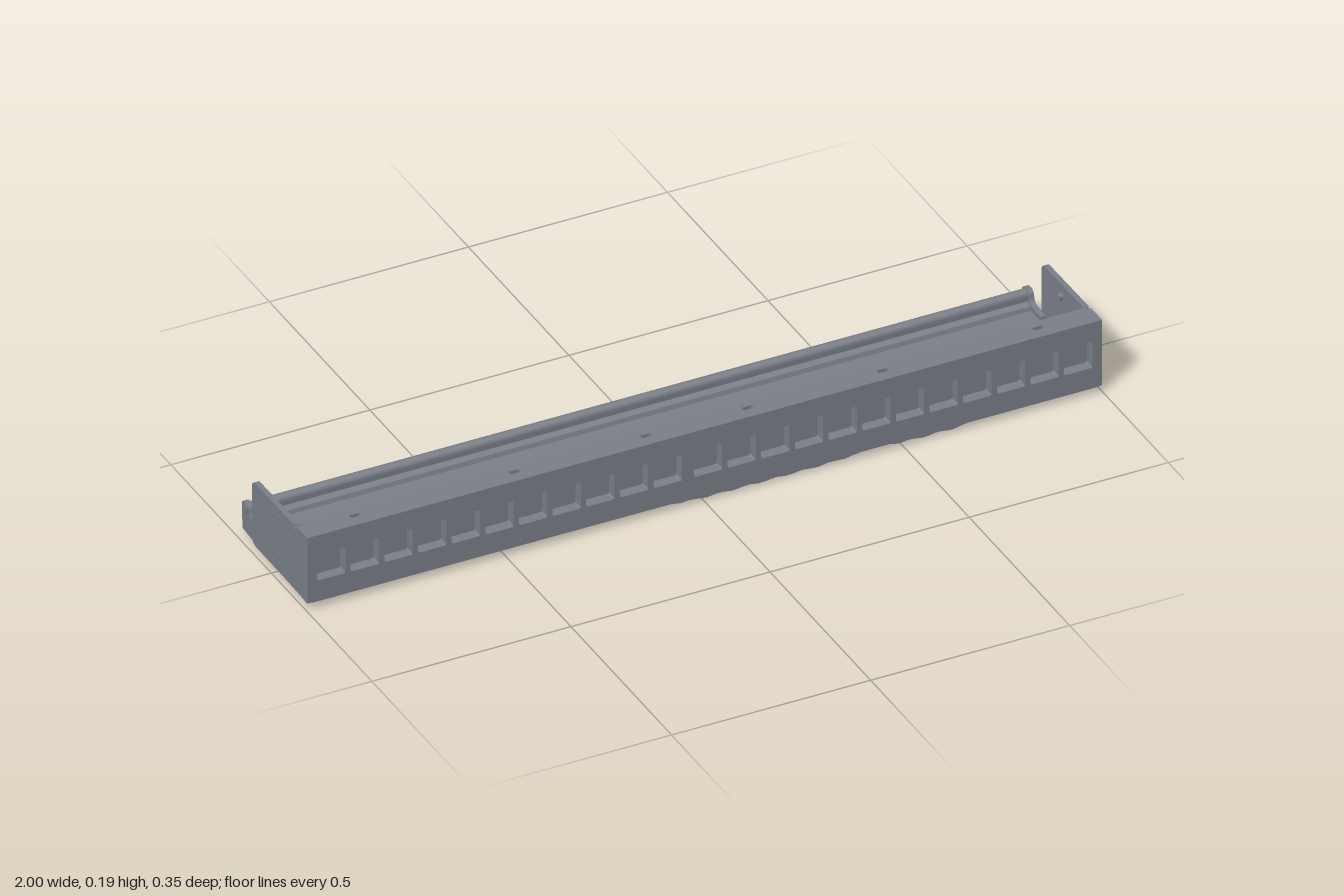
import * as THREE from 'three';

const mat = new THREE.MeshStandardMaterial({ color: 0x7b8089, flatShading: true });

function add(group, name, geometry, x = 0, y = 0, z = 0) {
  const mesh = new THREE.Mesh(geometry, mat);
  mesh.name = name;
  mesh.position.set(x, y, z);
  group.add(mesh);
  return mesh;
}

// Rectangle with rounded corners, used for the openings
function roundRect(cx, cy, w, h, r) {
  const x0 = cx - w / 2, x1 = cx + w / 2, y0 = cy - h / 2, y1 = cy + h / 2;
  return new THREE.Path()
    .moveTo(x0 + r, y0).lineTo(x1 - r, y0).quadraticCurveTo(x1, y0, x1, y0 + r)
    .lineTo(x1, y1 - r).quadraticCurveTo(x1, y1, x1 - r, y1)
    .lineTo(x0 + r, y1).quadraticCurveTo(x0, y1, x0, y1 - r)
    .lineTo(x0, y0 + r).quadraticCurveTo(x0, y0, x0 + r, y0);
}

// Extrude a side outline drawn in (-z, y) along x, from x0 to x1
function alongX(shape, x0, x1) {
  return new THREE.ExtrudeGeometry(shape, { depth: x1 - x0, bevelEnabled: false, curveSegments: 8 })
    .rotateY(Math.PI / 2).translate(x0, 0, 0);
}

export function createModel() {
  const model = new THREE.Group();
  model.name = 'rackTray';
  const half = 0.986;

  // Front plate with two runs of square port windows
  const face = new THREE.Shape();
  face.moveTo(-half, 0.022).lineTo(half, 0.022).lineTo(half, 0.19).lineTo(-half, 0.19).closePath();
  const pitch = 0.0845;
  const ports = [];
  for (let i = 0; i < 11; i++) ports.push(-0.938 + i * pitch);
  for (let i = 0; i < 12; i++) ports.push(0.938 - i * pitch);
  for (const x of ports) face.holes.push(roundRect(x, 0.112, 0.071, 0.07, 0.005));
  add(model, 'frontPlate', new THREE.ExtrudeGeometry(face,
    { depth: 0.027, bevelEnabled: false, curveSegments: 3 }), 0, 0, 0.148);
  add(model, 'portBacking', new THREE.BoxGeometry(2 * half, 0.16, 0.035), 0, 0.108, 0.1305);

  // Top strip with its small slots
  const strip = new THREE.Shape();
  strip.moveTo(-half, -0.175).lineTo(half, -0.175).lineTo(half, -0.113).lineTo(-half, -0.113).closePath();
  for (const x of [-0.86, -0.46, -0.13, 0.125, 0.465, 0.855])
    strip.holes.push(roundRect(x, -0.14, 0.026, 0.012, 0.003));
  add(model, 'topStrip', new THREE.ExtrudeGeometry(strip,
    { depth: 0.011, bevelEnabled: false, curveSegments: 3 }).rotateX(-Math.PI / 2), 0, 0.187, 0);

  // Floor with a gently waved underside, joined to the stepped, rolled rear rail
  const tray = new THREE.Shape();
  tray.moveTo(-0.172, 0.022);
  tray.splineThru([[-0.1, 0.021], [0, 0.028], [0.1, 0.017], [0.15, 0.017], [0.172, 0.022]]
    .map(p => new THREE.Vector2(...p)));
  tray.lineTo(0.172, 0.066).lineTo(0.168, 0.07);
  tray.absarc(0.158, 0.082, 0.013, -0.7, Math.PI, false);
  tray.lineTo(0.145, 0.07).lineTo(0.132, 0.064).lineTo(0.129, 0.053);
  tray.lineTo(-0.115, 0.048).lineTo(-0.172, 0.048).closePath();
  add(model, 'trayFloorAndRail', alongX(tray, -0.984, 0.984));

  // Rear end brackets and side plates, mirrored left and right
  const bracket = new THREE.Shape();
  bracket.moveTo(0.08, 0.026).lineTo(0.1, 0.018).lineTo(0.172, 0.022).lineTo(0.173, 0.088);
  bracket.quadraticCurveTo(0.172, 0.097, 0.163, 0.097).lineTo(0.15, 0.097);
  bracket.quadraticCurveTo(0.141, 0.096, 0.139, 0.084).quadraticCurveTo(0.135, 0.068, 0.12, 0.067);
  bracket.lineTo(0.08, 0.065).closePath();

  const plate = new THREE.Shape();
  plate.moveTo(-0.175, 0.023).lineTo(-0.1, 0.026).lineTo(0.08, 0.027).quadraticCurveTo(0.1, 0.029, 0.1, 0.045);
  plate.lineTo(0.1, 0.178).quadraticCurveTo(0.099, 0.193, 0.084, 0.194).lineTo(-0.107, 0.196);
  plate.lineTo(-0.11, 0.189).quadraticCurveTo(-0.116, 0.184, -0.119, 0.192);
  plate.lineTo(-0.121, 0.198).lineTo(-0.175, 0.198).closePath();

  for (const s of [-1, 1]) {
    const side = new THREE.Group();
    side.name = s > 0 ? 'leftEnd' : 'rightEnd';
    const span = (a, b) => s > 0 ? [a, b] : [-b, -a];
    add(side, 'sidePlate', alongX(plate, ...span(0.985, 0.998)));
    add(side, 'railBracket', alongX(bracket, ...span(0.973, 0.986)));
    // Screws through the plate, and one on the bracket, each with a smaller raised centre
    for (const [y, z, r, x, w] of [[0.163, -0.002, 0.009, 0.988, 0.022],
      [0.064, -0.002, 0.009, 0.988, 0.022], [0.083, -0.157, 0.013, 0.985, 0.006]]) {
      add(side, 'screwHead', new THREE.CylinderGeometry(r, r, w, 12).rotateZ(Math.PI / 2), s * x, y, z);
      add(side, 'screwCentre', new THREE.CylinderGeometry(r / 2, r / 2, w + 0.002, 8).rotateZ(Math.PI / 2), s * x, y, z);
    }
    model.add(side);
  }

  // Uneven patches under the front edge
  for (const [x0, x1, drop] of [[-0.1, 0.42, 0.021], [0.46, 0.68, 0.018]]) {
    const w = x1 - x0;
    const geo = new THREE.BoxGeometry(w, 0.012, 0.07, 24, 1, 5);
    const p = geo.attributes.position;
    for (let i = 0; i < p.count; i++) {
      if (p.getY(i) > 0) continue;
      const u = p.getX(i) / (w / 2), v = p.getZ(i) / 0.035;
      const bulge = Math.sqrt(Math.max(0, 1 - u ** 4)) * (1 - 0.25 * v * v);
      const ripple = 0.85 + 0.15 * Math.sin(p.getX(i) * 90 + v * 3);
      p.setY(i, 0.004 - drop * bulge * ripple);
    }
    geo.computeVertexNormals();
    add(model, 'undersidePatch', geo, (x0 + x1) / 2, 0.021, 0.135);
  }

  return model;
}
